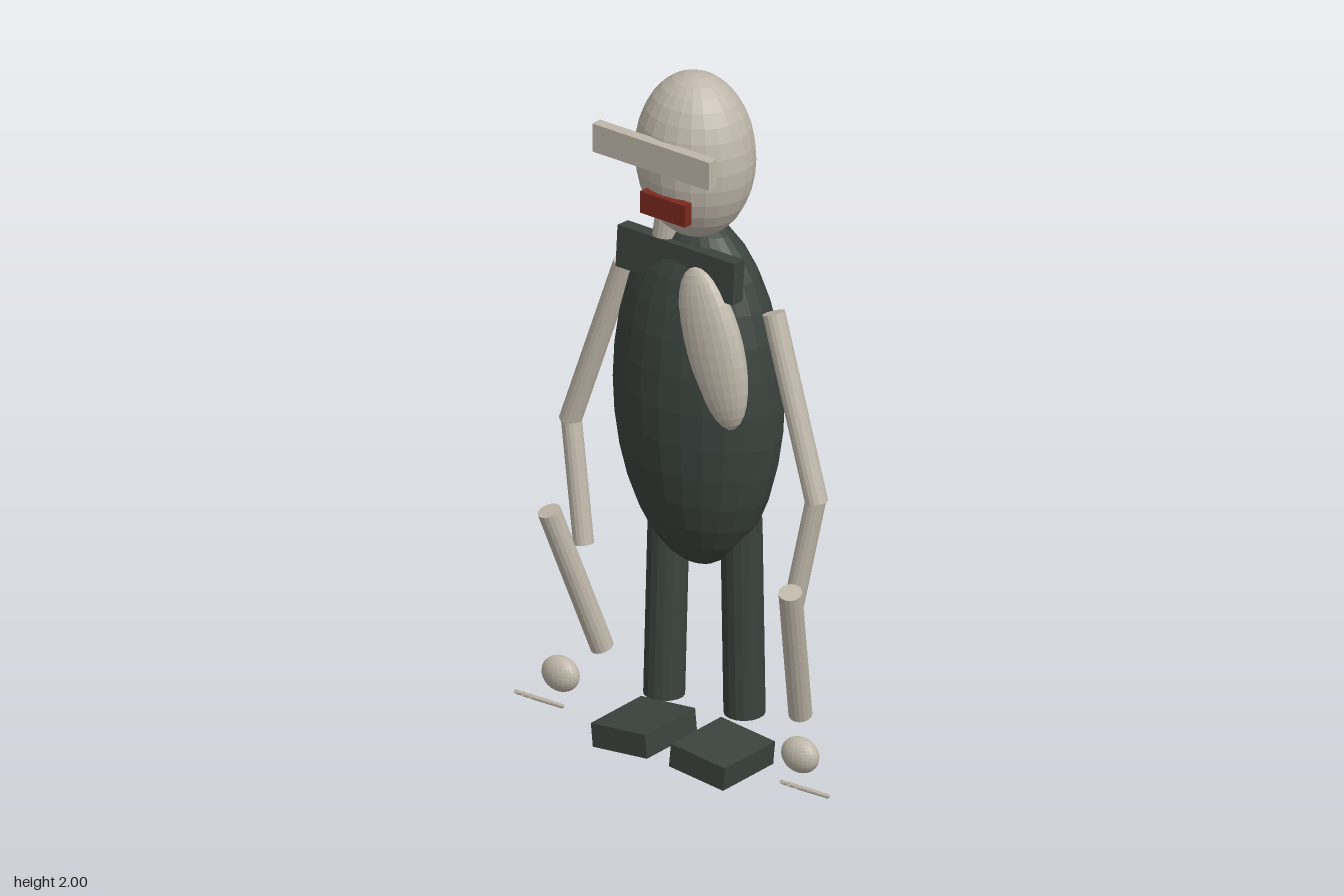
import * as THREE from 'three';

export function createModel() {
  const model = new THREE.Group();
  model.name = 'figure';
  const material = (name, color) => {
    const m = new THREE.MeshStandardMaterial({ color, flatShading: true });
    m.name = name;
    return m;
  };
  const pale = material('pale stone', 0xbfb7aa);
  const dark = material('dark green grey', 0x3b433e);
  const red = material('dark red', 0x7a281e);

  const add = (name, geometry, mat, position) => {
    const mesh = new THREE.Mesh(geometry, mat);
    mesh.name = name;
    mesh.position.set(...position);
    model.add(mesh);
    return mesh;
  };
  const ellipsoid = (name, mat, position, radii) =>
    add(name, new THREE.SphereGeometry(1, 24, 16).scale(...radii), mat, position);
  const box = (name, mat, position, size) =>
    add(name, new THREE.BoxGeometry(...size), mat, position);

  // Straight cylinder between two points
  const rod = (name, mat, from, to, radius, sides = 16) => {
    const a = new THREE.Vector3(...from);
    const b = new THREE.Vector3(...to);
    const dir = b.clone().sub(a);
    const mesh = add(name, new THREE.CylinderGeometry(radius, radius, dir.length(), sides), mat,
      a.clone().add(b).multiplyScalar(0.5).toArray());
    mesh.quaternion.setFromUnitVectors(new THREE.Vector3(0, 1, 0), dir.normalize());
    return mesh;
  };

  // Head and face
  ellipsoid('head', pale, [0.02, 1.765, 0.025], [0.17, 0.235, 0.148]);
  box('brow', pale, [-0.002, 1.807, 0.172], [0.395, 0.082, 0.032]);
  box('mouth', red, [0.032, 1.661, 0.167], [0.153, 0.063, 0.027]);
  rod('neck', pale, [-0.075, 1.46, 0.045], [-0.055, 1.58, 0.045], 0.035);

  // Torso, collar and chest patch
  ellipsoid('torso', dark, [-0.002, 1.058, -0.017], [0.258, 0.51, 0.171]);
  box('collar', dark, [-0.002, 1.451, 0.063], [0.395, 0.118, 0.044]).rotation.x = -0.07;
  ellipsoid('chestPatch', pale, [0.125, 1.245, 0.085], [0.1, 0.23, 0.055]).rotation.z = 0.26;

  // Mirrored limbs
  for (const s of [1, -1]) {
    const side = s > 0 ? 'left' : 'right';
    rod(side + 'UpperArm', pale, [s * 0.252, 1.35, -0.016], [s * 0.417, 0.85, 0.008], 0.031);
    rod(side + 'MiddleArm', pale, [s * 0.414, 0.86, 0.008], [s * 0.352, 0.515, 0.033], 0.028);
    rod(side + 'Forearm', pale, [s * 0.408, 0.622, 0.11], [s * 0.335, 0.195, -0.025], 0.032);
    ellipsoid(side + 'Hand', pale, [s * 0.405, 0.129, 0.064], [0.058, 0.05, 0.037]);
    for (let i = 0; i < 3; i++) {
      const x = s * (0.424 + i * 0.025);
      rod(side + 'Finger' + (i + 1), pale, [x, 0.094, 0.168], [x, 0.015, 0.032], 0.006, 8);
    }

    // Legs are slightly staggered front to back
    rod(side + 'Leg', dark, [s * 0.122, 0.7, -0.042], [s * 0.12, 0.126, -0.038 - s * 0.02], 0.056);
    box(side + 'Foot', dark, [s * 0.132, 0.047, 0.053], [0.184, 0.068, 0.214]).rotation.z = -s * 0.1;
  }
  return model;
}
